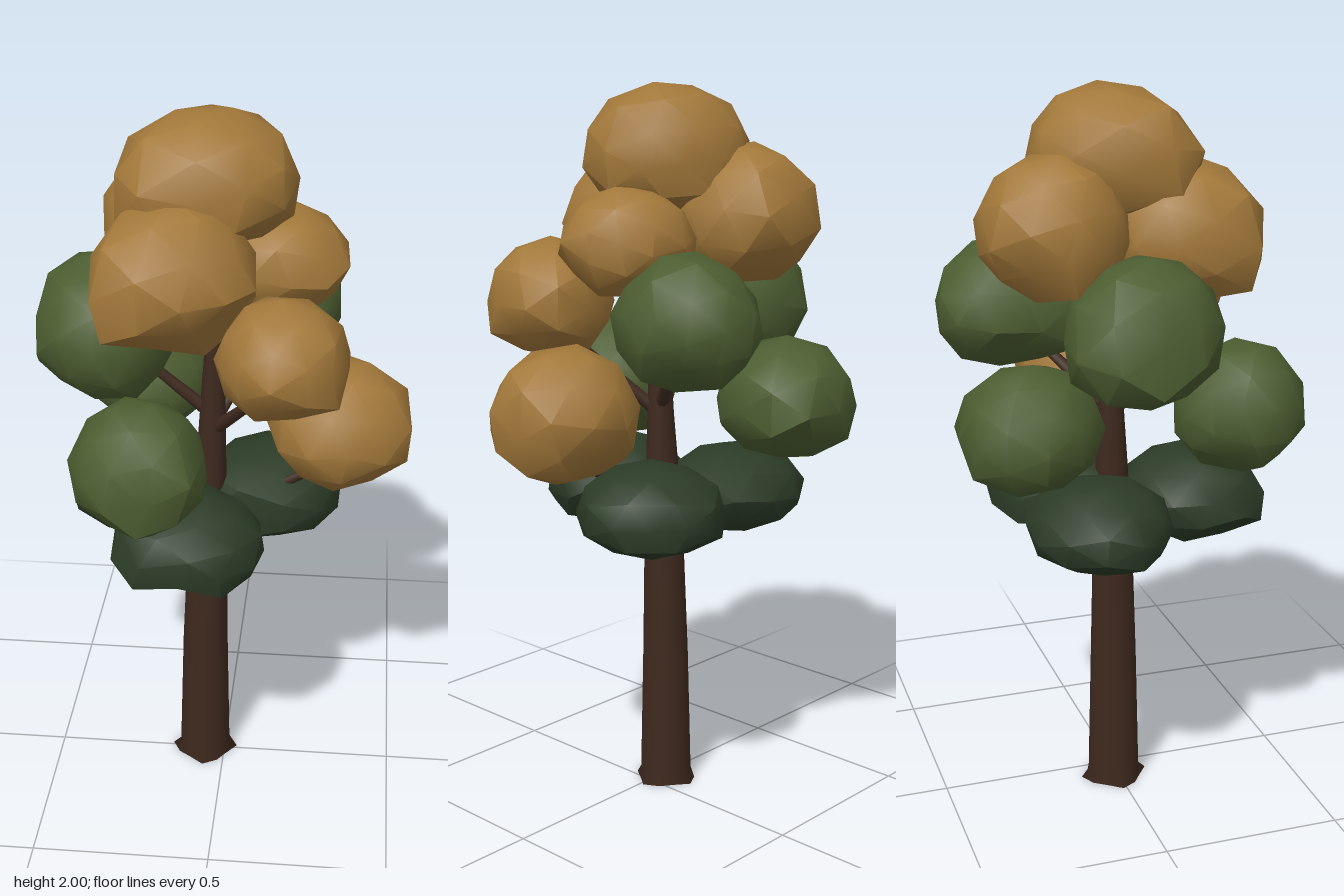
import * as THREE from 'three';
import { toCreasedNormals } from 'three/addons/utils/BufferGeometryUtils.js';

const mat = (color) => new THREE.MeshStandardMaterial({ color, roughness: 1 });

// Trunk centre line and radius: y, x, z, r
const TRUNK = [
  [0, -0.06, -0.01, 0.078],
  [0.02, -0.06, -0.01, 0.075],
  [0.4, -0.057, -0.01, 0.066],
  [0.8, -0.048, -0.01, 0.055],
  [1.1, -0.035, -0.01, 0.038],
  [1.4, -0.025, -0.01, 0.026],
  [1.75, -0.03, -0.02, 0.015],
];

// Leaf clumps: centre x, y, z, fuller side (eighths of a turn from +x to +z), its strength, half sizes x, y, z
const CLUMPS = {
  lowerFoliage: [
    [-0.245, 0.87, -0.1, 7, 0.15, 0.21, 0.122, 0.195],
    [-0.075, 0.882, 0.2, 3, 0.1, 0.205, 0.125, 0.19],
    [0.13, 0.88, -0.13, 3, 0.18, 0.205, 0.13, 0.2],
  ],
  middleFoliage: [
    [-0.318, 1.41, -0.01, 5, 0.12, 0.197, 0.195, 0.21],
    [-0.198, 1.15, 0.3, 1, 0.15, 0.177, 0.178, 0.18],
    [-0.245, 1.155, -0.285, 7, 0.15, 0.197, 0.172, 0.195],
    [0.135, 1.405, -0.26, 3, 0.18, 0.175, 0.178, 0.197],
  ],
  upperFoliage: [
    [-0.035, 1.825, -0.03, 3, 0.32, 0.235, 0.175, 0.22],
    [-0.11, 1.625, 0.15, 3, 0.15, 0.21, 0.2, 0.215],
    [-0.158, 1.66, -0.198, 6, 0.1, 0.192, 0.185, 0.192],
    [0.15, 1.595, -0.065, 3, 0.2, 0.18, 0.145, 0.177],
    [0.163, 1.427, 0.22, 7, 0.15, 0.175, 0.165, 0.18],
    [0.31, 1.15, 0.01, 0, 0.1, 0.2, 0.183, 0.19],
  ],
};
const COLORS = { lowerFoliage: 0x2c3c27, middleFoliage: 0x4d5e31, upperFoliage: 0xa2783a };

// Branches: start height on the trunk, end x, y, z
const BRANCHES = [
  [0.82, 0.28, 1.02, 0.01],
  [1.1, 0.16, 1.34, 0.18],
  [1.15, -0.27, 1.35, -0.01],
  [1.12, 0.12, 1.34, -0.22],
  [1.36, 0.13, 1.55, -0.06],
  [1.38, -0.09, 1.56, 0.11],
  [1.4, -0.13, 1.6, -0.17],
];

function trunkAt(y) {
  const i = TRUNK.findIndex((s) => s[0] >= y);
  const [a, b] = [TRUNK[i - 1], TRUNK[i]];
  const t = (y - a[0]) / (b[0] - a[0]);
  return new THREE.Vector3(THREE.MathUtils.lerp(a[1], b[1], t), y, THREE.MathUtils.lerp(a[2], b[2], t));
}

// Tapered trunk with a ragged root flare on the lowest ring
function trunkGeometry() {
  const rows = TRUNK.length - 1;
  const geo = new THREE.CylinderGeometry(1, 1, rows, 12, rows);
  const p = geo.attributes.position;
  for (let i = 0; i < p.count; i++) {
    const level = Math.round(p.getY(i) + rows / 2);
    const [y, x, z, r] = TRUNK[level];
    const side = Math.round((Math.atan2(p.getZ(i), p.getX(i)) / (2 * Math.PI)) * 12 + 12) % 12;
    const flare = level === 0 ? [1.25, 1, 1.1][side % 3] : 1;
    p.setXYZ(i, x + p.getX(i) * r * flare, y, z + p.getZ(i) * r * flare);
  }
  return geo;
}

// Low-poly leaf clump: smooth dome above, flatter dented underside
function clumpGeometry(seed, eighth, strength, size) {
  const geo = new THREE.IcosahedronGeometry(1, 1);
  geo.rotateY(seed * 1.3).rotateZ(0.25 * Math.sin(seed * 2.1));
  const p = geo.attributes.position;
  const v = new THREE.Vector3();
  for (let i = 0; i < p.count; i++) {
    v.fromBufferAttribute(p, i);
    const wave = Math.sin(v.x * 7 + seed) * Math.sin(v.z * 6 + seed * 2) * Math.cos(v.y * 5);
    v.multiplyScalar(1 + wave * (v.y < -0.3 ? 0.16 : 0.03));
    p.setXYZ(i, v.x, v.y < 0 ? v.y * 0.85 : v.y, v.z);
  }
  // Fit to a unit box, then push one side out to the box and pull the opposite side in
  geo.center();
  geo.computeBoundingBox();
  const b = geo.boundingBox.max;
  geo.scale(1 / b.x, 1 / b.y, 1 / b.z);
  const one = new THREE.Vector3(1, 1, 1);
  const full = new THREE.Vector3(Math.cos((eighth * Math.PI) / 4), 0, Math.sin((eighth * Math.PI) / 4));
  for (let i = 0; i < p.count; i++) {
    v.fromBufferAttribute(p, i);
    const d = v.dot(full);
    v.multiplyScalar(1 + strength * (d > 0 ? d ** 3 : -0.5 * d ** 4));
    v.clamp(one.clone().negate(), one);
    p.setXYZ(i, v.x, v.y, v.z);
  }
  geo.scale(...size);
  return toCreasedNormals(geo, 0.7);
}

function branchMesh(from, to, material) {
  const dir = to.clone().sub(from);
  const mesh = new THREE.Mesh(new THREE.CylinderGeometry(0.011, 0.02, dir.length(), 7), material);
  mesh.position.copy(from).addScaledVector(dir, 0.5);
  mesh.quaternion.setFromUnitVectors(new THREE.Vector3(0, 1, 0), dir.normalize());
  mesh.name = 'branch';
  return mesh;
}

export function createModel() {
  const tree = new THREE.Group();
  tree.name = 'tree';
  const bark = mat(0x3f2a1f);

  const trunk = new THREE.Mesh(trunkGeometry(), bark);
  trunk.name = 'trunk';
  tree.add(trunk);

  const branches = new THREE.Group();
  branches.name = 'branches';
  for (const [y, ...end] of BRANCHES) branches.add(branchMesh(trunkAt(y), new THREE.Vector3(...end), bark));
  tree.add(branches);

  let seed = 1;
  for (const [name, list] of Object.entries(CLUMPS)) {
    const group = new THREE.Group();
    group.name = name;
    const material = mat(COLORS[name]);
    for (const [x, y, z, eighth, strength, ...size] of list) {
      const clump = new THREE.Mesh(clumpGeometry(seed++, eighth, strength, size), material);
      clump.position.set(x, y, z);
      clump.name = 'leafClump';
      group.add(clump);
    }
    tree.add(group);
  }
  return tree;
}
